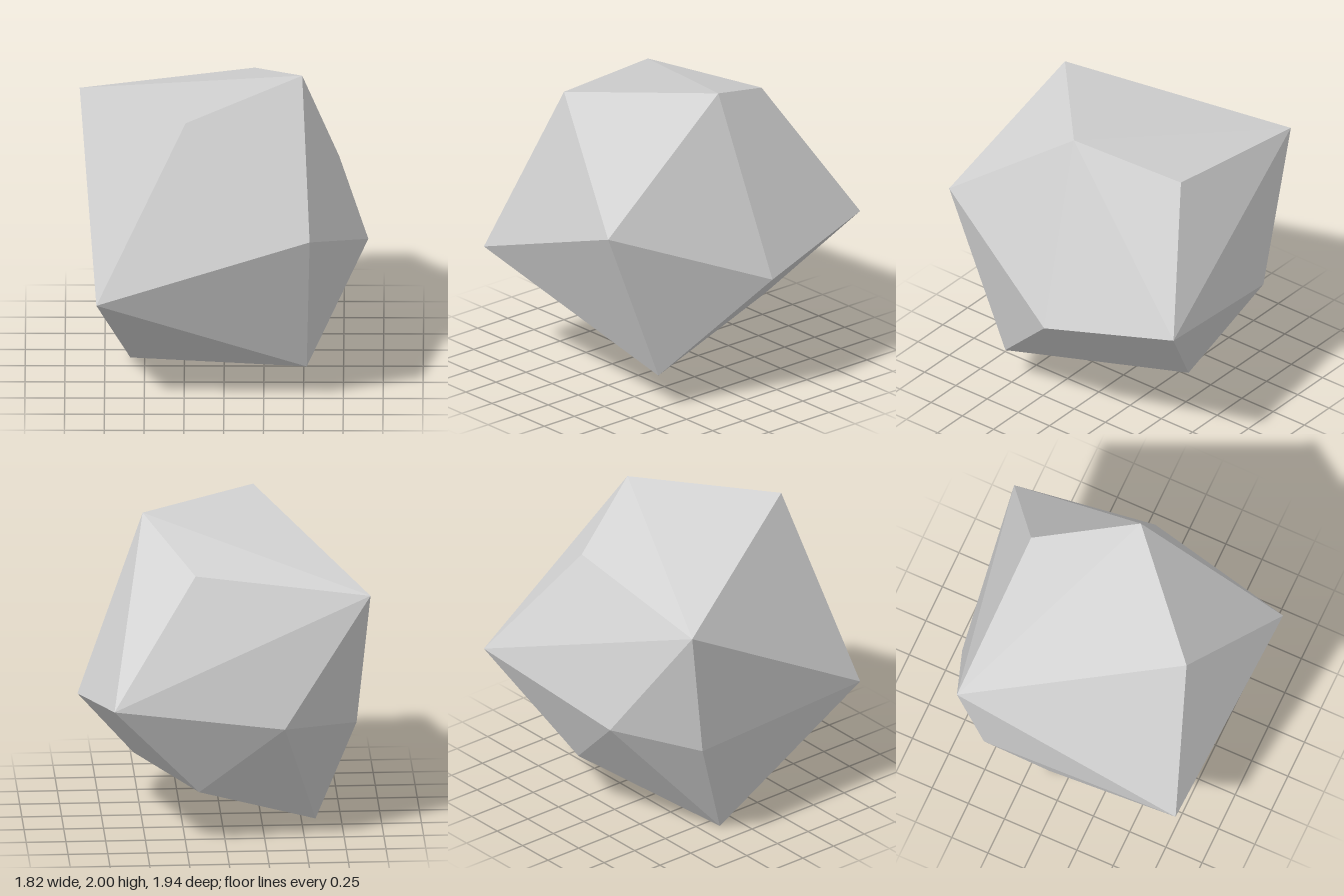
import * as THREE from 'three';
import { ConvexGeometry } from 'three/addons/geometries/ConvexGeometry.js';

export function createModel() {
  const group = new THREE.Group();
  group.name = 'rock';

  const stoneGrey = new THREE.MeshStandardMaterial({ color: 0xd4d4d4, flatShading: true });
  stoneGrey.name = 'stoneGrey';

  // Corners of the faceted boulder, from the crown down to the foot
  const corners = [
    // crown
    [0.49, 2.0, 0.01], [-0.24, 1.96, 0.66], [0.19, 1.78, -0.61], [-0.91, 1.635, -0.62],
    // belly
    [0.54, 1.28, 0.97], [0.72, 1.01, -0.97], [0.905, 0.84, -0.08],
    [-0.36, 0.83, -0.835], [-0.8, 0.785, 0.84], [-0.83, 0.75, -0.47],
    // underside
    [0.17, 0.365, -0.655], [0.52, 0.235, 0.535], [-0.59, 0, -0.13],
  ].map((p) => new THREE.Vector3(...p));

  // The facets are the convex skin around the corners
  const boulder = new THREE.Mesh(new ConvexGeometry(corners), stoneGrey);
  boulder.name = 'boulder';
  group.add(boulder);

  return group;
}
